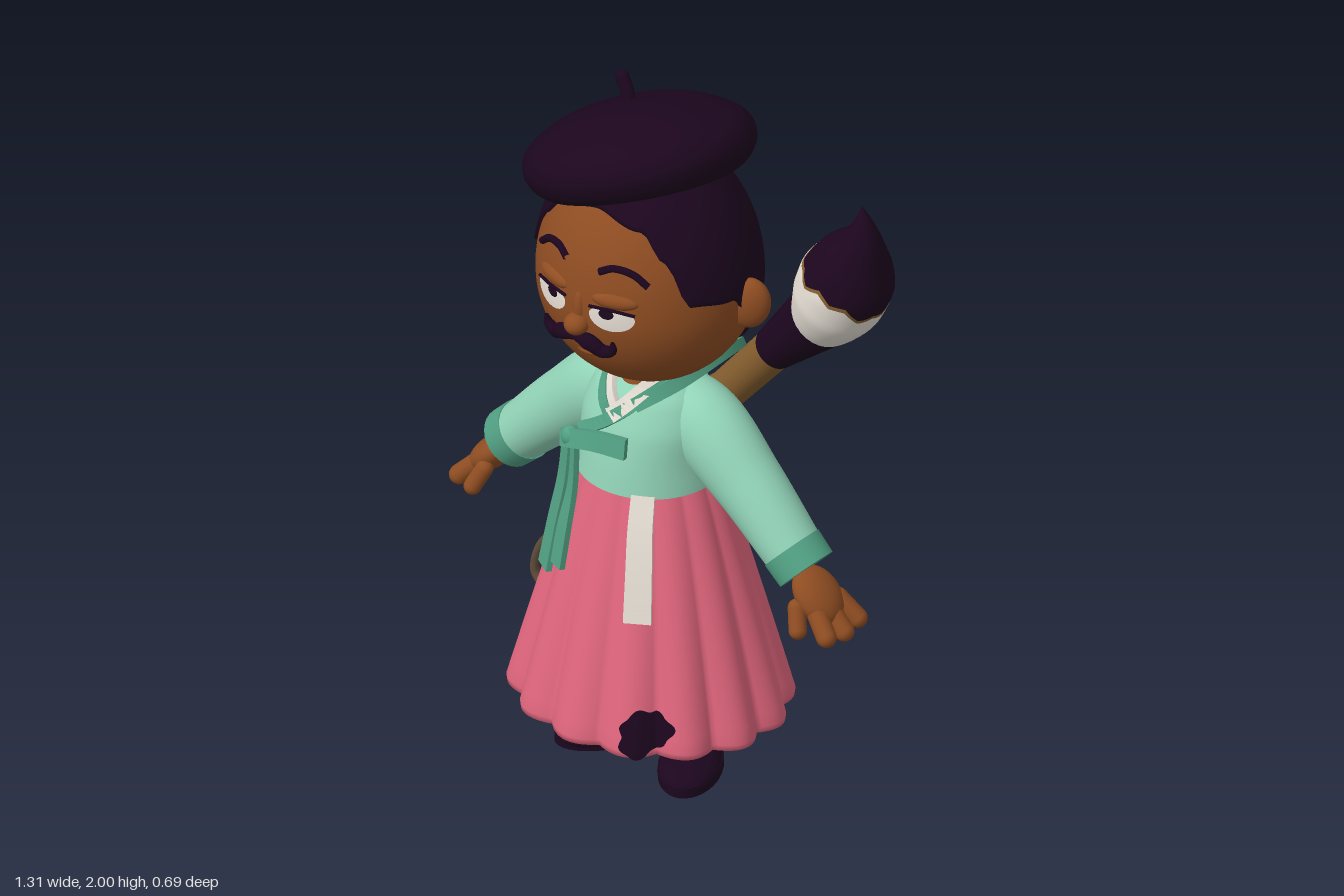
import * as THREE from 'three';

const V = (x, y, z) => new THREE.Vector3(x, y, z);
const TAU = Math.PI * 2;
const mat = (name, color, side = THREE.FrontSide) => {
  const m = new THREE.MeshStandardMaterial({ color, side });
  m.name = name;
  return m;
};

export function createModel() {
  const root = new THREE.Group();
  const skin = mat('skin', 0x8f4d22), dark = mat('ink purple', 0x1c061e, THREE.DoubleSide);
  const mint = mat('mint', 0x92d4b8, THREE.DoubleSide), green = mat('deep mint', 0x52a184);
  const pink = mat('pink', 0xe1667d), white = mat('off white', 0xe6dfd5, THREE.DoubleSide);
  const tan = mat('bamboo', 0x845d2e, THREE.DoubleSide), cord = mat('cord', 0x5e4c39);

  const add = (name, geo, m, parent = root) => {
    const mesh = new THREE.Mesh(geo, m);
    mesh.name = name;
    parent.add(mesh);
    return mesh;
  };
  // Rings of points joined into a smooth or faceted skin
  const loft = (rings, flat = false) => {
    const pos = [], idx = [], m = rings[0].length;
    rings.forEach(r => r.forEach(p => pos.push(p.x, p.y, p.z)));
    for (let i = 0; i < rings.length - 1; i++) for (let j = 0; j < m; j++) {
      const k = (j + 1) % m, a = i * m + j, b = i * m + k, c = b + m, d = a + m;
      idx.push(a, b, c, a, c, d);
    }
    let g = new THREE.BufferGeometry();
    g.setAttribute('position', new THREE.Float32BufferAttribute(pos, 3));
    g.setIndex(idx);
    if (flat) g = g.toNonIndexed();
    g.computeVertexNormals();
    return g;
  };
  const sheet = (fn, n, m) => loft(Array.from({ length: n + 1 }, (_, i) =>
    Array.from({ length: m }, (_, j) => fn(i / n, j / m * TAU))));
  // Spline body through rows of [x, y, z, side radius, depth radius]
  const body = rows => {
    const c = new THREE.CatmullRomCurve3(rows.map(r => V(r[0], r[1], r[2])));
    const w = new THREE.CatmullRomCurve3(rows.map(r => V(r[3], r[4] ?? r[3], 0)));
    return (t, a) => {
      const P = V(0, 0, 1), Q = c.getTangent(t).cross(P).normalize(), r = w.getPoint(t);
      return c.getPoint(t).addScaledVector(Q, r.x * Math.sin(a)).addScaledVector(P, r.y * Math.cos(a));
    };
  };
  const rod = (name, m, p, q, r1, r2 = r1) => {
    const d = q.clone().sub(p);
    const mesh = add(name, new THREE.CylinderGeometry(r2, r1, d.length(), 28), m);
    mesh.position.copy(p).add(q).multiplyScalar(0.5);
    mesh.quaternion.setFromUnitVectors(V(0, 1, 0), d.normalize());
  };
  const ball = (name, m, p, s, parent = root) => {
    const mesh = add(name, new THREE.SphereGeometry(1, 28, 20), m, parent);
    mesh.position.set(...p);
    mesh.scale.set(...s);
    return mesh;
  };
  // Flat cloth band whose face points away from the body axis
  const ribbon = (name, m, pts, w0, w1 = w0, th = 0.016) => {
    const c = new THREE.CatmullRomCurve3(pts.map(p => V(...p))), rings = [], N = 36;
    for (let i = 0; i <= N; i++) {
      const p = c.getPoint(i / N), n = V(p.x, 0.05, p.z + 0.02).normalize();
      const s = c.getTangent(i / N).cross(n).normalize();
      const w = (w0 + (w1 - w0) * i / N) / 2;
      rings.push([[-1, 1], [-1, -1], [1, -1], [1, 1]].map(([a, b]) =>
        p.clone().addScaledVector(s, -a * w).addScaledVector(n, b * th / 2)));
    }
    const ends = [rings[0], rings[N]].map(r => r.map(() => r[0].clone().add(r[2]).multiplyScalar(0.5)));
    add(name, loft([ends[0], ...rings, ends[1]], true), m);
  };
  // Thin painted patch: concentric outlines laid on a surface
  const patch = (name, m, outline, surf) =>
    add(name, sheet((t, a) => { const [u, v] = outline(a); return surf(u * (1 - t), v * (1 - t)); }, 8, 64), m);

  // Head
  const CY = 1.49, CZ = 0.01, RX = 0.298, RZ = 0.288;
  const ry = y => (y > 0 ? 0.38 : 0.3);
  const skull = new THREE.SphereGeometry(1, 48, 36), sp = skull.attributes.position;
  for (let i = 0; i < sp.count; i++) {
    const y = sp.getY(i);
    sp.setXYZ(i, sp.getX(i) * RX, CY + y * ry(y), CZ + sp.getZ(i) * RZ);
  }
  skull.computeVertexNormals();
  add('head', skull, skin);
  const onFace = (x, y, off = 0) =>
    V(x, y, CZ + off + RZ * Math.sqrt(Math.max(0, 1 - (x / RX) ** 2 - ((y - CY) / ry(y - CY)) ** 2)));

  // Hair cap with a hairline height for each angle from the front
  const line = [[0, 1.765], [0.6, 1.735], [0.85, 1.66], [1.05, 1.54], [1.5, 1.52], [1.8, 1.39], [2.2, 1.29], [3.15, 1.27]];
  const hairY = A => {
    const i = line.findIndex(k => k[0] >= A) || 1, [a, b] = [line[i - 1], line[i]];
    return a[1] + (b[1] - a[1]) * THREE.MathUtils.smoothstep(A, a[0], b[0]);
  };
  add('hair', sheet((t, a) => {
    const h = hairY(Math.min(a, TAU - a)) - CY;
    const th = Math.acos(h / ry(h)) * (1 - Math.max(0, t - 0.04) / 0.96);
    const s = t === 0 ? 0.98 : 1.03, y = Math.cos(th);
    return V(Math.sin(a) * Math.sin(th) * RX * s, CY + y * ry(y) * s, CZ + Math.cos(a) * Math.sin(th) * RZ * s);
  }, 28, 96), dark);

  // Beret
  const beret = new THREE.Group();
  beret.name = 'beret';
  beret.position.set(-0.064, 1.79, -0.034);
  beret.rotation.set(-0.16, 0, 0.37);
  root.add(beret);
  const profile = new THREE.SplineCurve([[0.2, -0.05], [0.24, -0.072], [0.285, -0.048], [0.31, 0.004], [0.288, 0.062],
    [0.2, 0.115], [0.1, 0.142], [0.0001, 0.15]].map(p => new THREE.Vector2(...p))).getPoints(36);
  add('beret cap', new THREE.LatheGeometry(profile, 56), dark, beret);
  add('beret stem', new THREE.TubeGeometry(new THREE.CatmullRomCurve3(
    [V(-0.005, 0.13, 0), V(-0.005, 0.175, 0), V(-0.012, 0.208, 0)]), 12, 0.019, 10), dark, beret);
  ball('beret stem tip', dark, [-0.012, 0.208, 0], [0.019, 0.019, 0.019], beret);

  // Nose, lip, neck
  ball('nose', skin, [0, 1.458, 0.302], [0.034, 0.03, 0.034]);
  ball('nose bridge', skin, [0, 1.5, 0.282], [0.02, 0.06, 0.024]);
  ball('lower lip', skin, [0, 1.358, 0.256], [0.036, 0.013, 0.016]);
  add('neck', sheet(body([[0, 1.07, 0.085, 0.04, 0.05], [0, 1.14, 0.045, 0.06], [0, 1.26, -0.01, 0.075]]), 12, 28), skin);

  for (const s of [-1, 1]) {
    const side = s > 0 ? 'left ' : 'right ';
    // Ears
    const ear = ball(side + 'ear', skin, [s * 0.3, 1.48, -0.035], [0.06, 0.075, 0.036]);
    ear.rotation.set(0, s * 0.45, -s * 0.15);
    // Sleepy eyes
    patch(side + 'eye white', white, a => [0.06 * Math.cos(a), (Math.sin(a) > 0 ? 0.026 : 0.042) * Math.sin(a)],
      (u, v) => onFace(s * 0.1 + u, 1.508 + v, 0.005));
    patch(side + 'pupil', dark, a => [0.02 * Math.cos(a), 0.015 * Math.sin(a)],
      (u, v) => onFace(s * 0.09 + u, 1.517 + v, 0.008));
    const lid = ball(side + 'eyelid', skin, onFace(s * 0.1, 1.55, -0.014).toArray(), [0.066, 0.024, 0.024]);
    lid.rotation.y = s * 0.35;
    const curve = pts => new THREE.CatmullRomCurve3(pts.map(([x, y, o]) => onFace(s * x, y, o)));
    add(side + 'lash line', new THREE.TubeGeometry(curve([[0.04, 1.528, 0.006], [0.1, 1.533, 0.01], [0.16, 1.522, 0.006]]), 16, 0.0045, 8), dark);
    add(side + 'eyebrow', new THREE.TubeGeometry(curve([[0.055, 1.627, 0.002], [0.09, 1.643, 0.002], [0.14, 1.635, 0.002], [0.178, 1.605, 0.002]]), 20, 0.0105, 8), dark);
    // Curled moustache half
    const tash = [[0, 1.425, 0.014], [0.045, 1.42, 0.018], [0.08, 1.4, 0.018], [0.106, 1.41, 0.018], [0.112, 1.437, 0.018]];
    const tr = [0.013, 0.022, 0.018, 0.014, 0.005];
    add(side + 'moustache', sheet(body(tash.map(([x, y, o], i) => [...onFace(s * x, y, o).toArray(), tr[i]])), 24, 14), dark);

    // Sleeve, cuff and hand
    add(side + 'sleeve', sheet(body([[s * 0.02, 1.1, -0.03, 0.09], [s * 0.155, 1.05, -0.03, 0.113, 0.105],
      [s * 0.3, 0.935, -0.03, 0.096, 0.092], [s * 0.465, 0.775, -0.03, 0.078, 0.082]]), 24, 32), mint);
    rod(side + 'cuff', green, V(s * 0.45, 0.79, -0.03), V(s * 0.5, 0.743, -0.03), 0.084, 0.082);
    const hand = new THREE.Group();
    hand.name = side + 'hand';
    hand.position.set(s * 0.497, 0.738, -0.022);
    hand.rotation.z = s * 0.77;
    root.add(hand);
    ball('palm', skin, [0, -0.07, 0], [0.042, 0.085, 0.07], hand);
    const digit = (name, r, len, p, rx, rz = 0) => {
      const f = add(name, new THREE.CapsuleGeometry(r, len, 6, 14), skin, hand);
      f.position.set(...p);
      f.rotation.set(rx, 0, rz);
    };
    [-1, 0, 1].forEach(k => digit('finger', 0.027, 0.075, [0, -0.15 + 0.01 * Math.abs(k), k * 0.054 - 0.008], -k * 0.25));
    digit('thumb', 0.024, 0.06, [-s * 0.035, -0.095, 0.075], -0.4, -s * 0.35);

    // Stocking and shoe
    rod(side + 'stocking', white, V(s * 0.103, 0.04, -0.06), V(s * 0.1, 0.4, -0.06), 0.064, 0.068);
    const shoe = new THREE.Group();
    shoe.name = side + 'shoe';
    shoe.position.set(s * 0.14, 0, 0.006);
    shoe.rotation.y = s * 0.5;
    root.add(shoe);
    ball('stocking instep', white, [0, 0.045, -0.02], [0.056, 0.034, 0.075], shoe);
    const upper = new THREE.SphereGeometry(1, 32, 20), up = upper.attributes.position;
    for (let i = 0; i < up.count; i++) {
      const z = up.getZ(i);
      up.setXYZ(i, up.getX(i) * (0.082 + 0.008 * z), Math.max(0.012, 0.02 + up.getY(i) * 0.049), z * 0.145);
    }
    upper.computeVertexNormals();
    add('shoe upper', upper, dark, shoe);
    const sole = add('shoe sole', new THREE.CylinderGeometry(1, 1, 0.03, 36), dark, shoe);
    sole.scale.set(0.083, 1, 0.146);
    sole.position.y = 0.015;
  }

  // Pleated skirt with a thick hem and a plain round hollow underneath
  const skirtAt = (a, y, k = 1) => {
    const d = Math.min(1, Math.max(0, (0.9 - y) / 0.7)), pleat = k < 0.8 ? 0 : 0.03 + 0.06 * d;
    const r = k * (1 - pleat * (1 - Math.abs(Math.cos(7 * a))));
    return V(Math.sin(a) * (0.18 + 0.218 * d ** 0.9) * r, y, Math.cos(a) * (0.17 + 0.18 * d) * r);
  };
  const rows = [[0.01, 0.34], [0.6, 0.34], [0.64, 0.31], [0.67, 0.225], [0.7, 0.21], [0.95, 0.192], [0.985, 0.196], [1, 0.213]];
  for (let y = 0.25; y < 0.94; y += 0.05) rows.push([1, y]);
  add('skirt', loft(rows.map(([k, y]) => Array.from({ length: 196 }, (_, j) => skirtAt(j / 196 * TAU, y, k)))), pink);
  patch('ink stain', dark, a => {
    const r = 1 + 0.09 * Math.sin(3 * a + 1) + 0.07 * Math.sin(7 * a);
    return [0.19 * r * Math.cos(a), 0.062 * r * Math.sin(a)];
  }, (u, v) => skirtAt(0.585 + u + v * 0.6, 0.264 + v, 1.015));

  // Jacket, collar and ties
  add('jacket', sheet(body([[0, 0.892, 0.005, 0.196, 0.188], [0, 0.97, 0.003, 0.188, 0.178], [0, 1.06, 0, 0.186, 0.16],
    [0, 1.14, -0.01, 0.158, 0.133], [0, 1.21, -0.03, 0.08, 0.085]]), 24, 48), mint);
  ribbon('collar', green, [[-0.1, 1.03, 0.165], [-0.03, 1.075, 0.16], [0.035, 1.13, 0.135], [0.09, 1.185, 0.05], [0.085, 1.2, -0.06],
    [0, 1.203, -0.118], [-0.085, 1.2, -0.06], [-0.09, 1.185, 0.05], [-0.05, 1.13, 0.13], [0, 1.075, 0.148]], 0.034);
  ribbon('inner collar', white, [[-0.005, 1.1, 0.154], [0.038, 1.15, 0.125], [0.075, 1.21, 0.04], [0.07, 1.23, -0.05],
    [0, 1.238, -0.1], [-0.07, 1.23, -0.05], [-0.075, 1.21, 0.04], [-0.04, 1.15, 0.12], [0.005, 1.1, 0.148]], 0.042);
  ribbon('shoulder strap', green, [[0.05, 1.14, 0.125], [0.12, 1.195, 0.03], [0.165, 1.24, -0.06], [0.2, 1.275, -0.13]], 0.04);
  ribbon('bow loop', green, [[-0.14, 0.995, 0.185], [-0.1, 1.015, 0.198], [-0.02, 1.038, 0.2], [0.07, 1.042, 0.186]], 0.048, 0.055, 0.024);
  ball('bow knot', green, [-0.112, 1.012, 0.19], [0.028, 0.03, 0.024]);
  ribbon('long tie', green, [[-0.12, 1.02, 0.19], [-0.13, 0.88, 0.198], [-0.15, 0.75, 0.212], [-0.162, 0.615, 0.236]], 0.045, 0.064);
  ribbon('short tie', green, [[-0.1, 1.02, 0.195], [-0.1, 0.88, 0.205], [-0.105, 0.76, 0.228], [-0.112, 0.645, 0.248]], 0.045, 0.06);
  ribbon('white sash', white, [[0.105, 0.9, 0.158], [0.12, 0.81, 0.188], [0.138, 0.7, 0.215], [0.155, 0.57, 0.242]], 0.062, 0.074);

  // Giant brush carried on the back
  const A = V(-0.465, 0.385, -0.205), B = V(0.26, 1.25, -0.205);
  const at = t => A.clone().lerp(B, t);
  const nodes = [0, 0.22, 0.47, 0.74, 1];
  nodes.slice(1).forEach((t, i) => {
    rod('bamboo segment', tan, at(nodes[i]), at(t), 0.048 + 0.002 * i, 0.051 + 0.002 * i);
    if (i < 3) rod('bamboo joint', tan, at(t - 0.005), at(t + 0.005), 0.0535 + 0.002 * i);
  });
  rod('handle band', dark, at(0.075), at(0.125), 0.052);
  rod('brush ferrule', dark, at(0.985), V(0.41, 1.408, -0.205), 0.06, 0.094);
  const tuft = body([[0.395, 1.385, -0.205, 0.084], [0.43, 1.43, -0.205, 0.104, 0.11], [0.464, 1.485, -0.205, 0.122, 0.13],
    [0.49, 1.545, -0.205, 0.125, 0.132], [0.515, 1.615, -0.205, 0.102, 0.108], [0.54, 1.685, -0.205, 0.06],
    [0.547, 1.74, -0.205, 0.028], [0.543, 1.79, -0.205, 0.001]]);
  const edge = a => 0.425 - 0.055 * Math.sin(a) + 0.025 * Math.sin(3 * a + 0.5) + 0.035 * Math.abs(((a * 9 / TAU) % 1) * 2 - 1);
  const band = (name, m, from, to, n) => add(name, sheet((t, a) => tuft(from(a) + t * (to(a) - from(a)), a), n, 90), m);
  band('white bristles', white, () => 0, edge, 14);
  band('wet bristle rim', tan, edge, a => edge(a) + 0.02, 2);
  band('inked bristle tip', dark, a => edge(a) + 0.02, () => 1, 24);
  add('hanging loop', new THREE.TubeGeometry(new THREE.CatmullRomCurve3([[-0.465, 0.39], [-0.467, 0.3], [-0.485, 0.225], [-0.525, 0.19],
    [-0.56, 0.22], [-0.55, 0.29], [-0.5, 0.365]].map(([x, y]) => V(x, y, -0.205)), true), 60, 0.013, 10, true), cord);

  return root;
}
